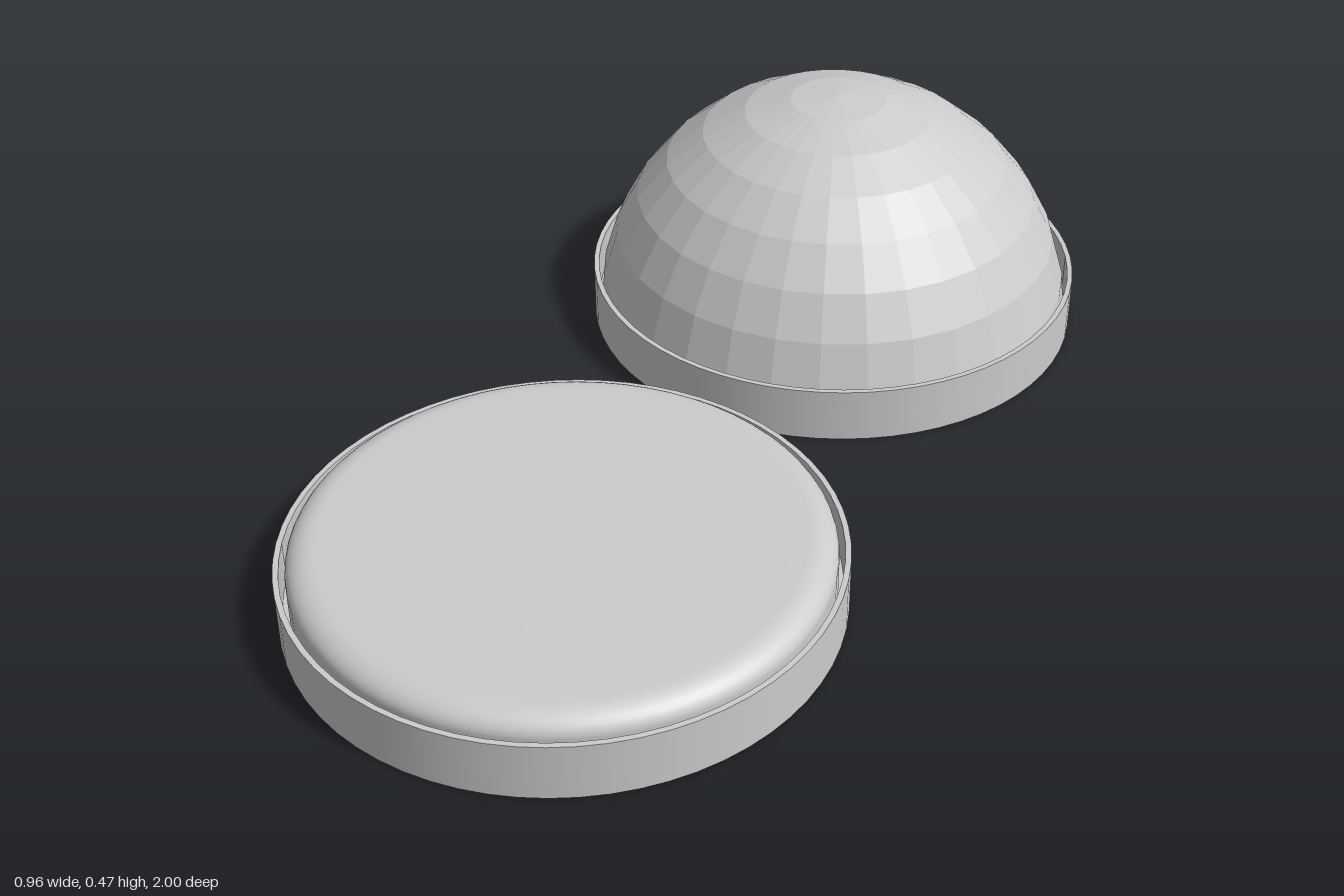
import * as THREE from 'three';

const BASE_R = 0.48, RIM_R = 0.47, BASE_H = 0.105, FLOOR = 0.03, OFFSET = 0.52;

const smooth = new THREE.MeshStandardMaterial({ color: 0xcccccc });
const faceted = new THREE.MeshStandardMaterial({ color: 0xcccccc, flatShading: true });

function mesh(name, geometry, material) {
  const m = new THREE.Mesh(geometry, material);
  m.name = name;
  return m;
}

// Lathe a profile; repeated points keep an edge sharp
function lathe(points, segments = 64) {
  return new THREE.LatheGeometry(points.map(([r, y]) => new THREE.Vector2(r, y)), segments);
}

// Shallow round tray with a thin upright rim
function tray() {
  const group = new THREE.Group();
  group.name = 'tray';
  const strips = {
    trayBottom: [[0, 0], [BASE_R, 0]],
    trayWall: [[BASE_R, 0], [BASE_R, BASE_H]],
    trayRim: [[BASE_R, BASE_H], [RIM_R, BASE_H]],
    trayInnerWall: [[RIM_R, BASE_H], [RIM_R, FLOOR]],
    trayFloor: [[RIM_R, FLOOR], [0, FLOOR]],
  };
  for (const [name, points] of Object.entries(strips)) group.add(mesh(name, lathe(points), smooth));
  return group;
}

export function createModel() {
  const model = new THREE.Group();
  model.name = 'domeAndDisc';

  // Faceted dome in the rear tray
  const rear = new THREE.Group();
  rear.name = 'domedUnit';
  rear.position.z = -OFFSET;
  const dome = new THREE.SphereGeometry(0.47, 32, 8, 0, Math.PI * 2, 0, Math.PI / 2);
  rear.add(tray(), mesh('dome', dome, faceted));

  // Softly rounded flat disc in the front tray
  const front = new THREE.Group();
  front.name = 'flatUnit';
  front.position.z = OFFSET;
  const profile = [[0.46, FLOOR], [0.46, 0.1]];
  for (let i = 1; i <= 8; i++) {
    const a = (i / 8) * Math.PI / 2;
    profile.push([0.41 + 0.05 * Math.cos(a), 0.1 + 0.035 * Math.sin(a)]);
  }
  profile.push([0.38, 0.135], [0, 0.135]);
  front.add(tray(), mesh('disc', lathe(profile), smooth));

  model.add(rear, front);
  return model;
}
